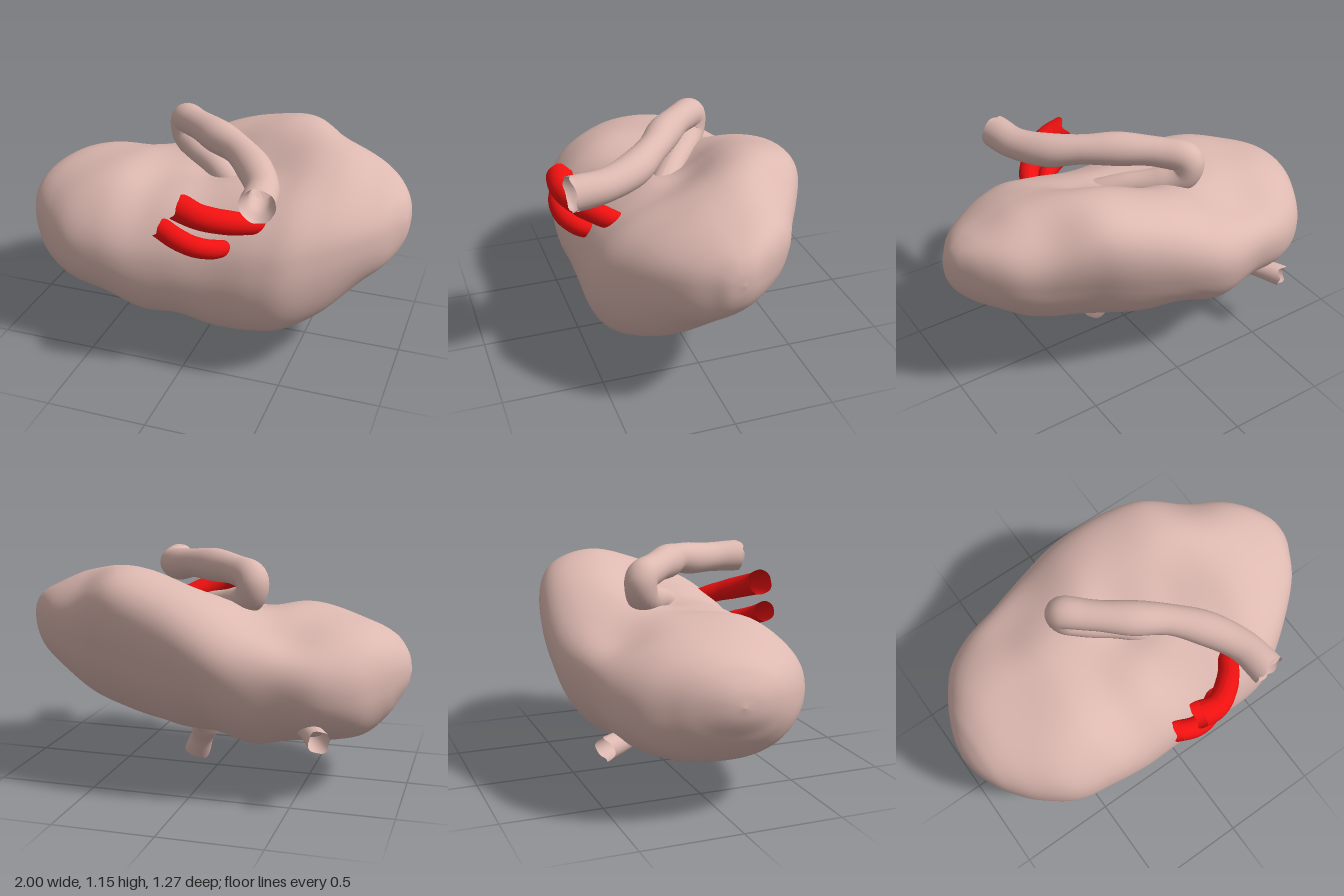
import * as THREE from 'three';

const FLESH = 0xdcb8b0, RED = 0xee1010;
const V = (p) => new THREE.Vector3(...p);
const material = (color) => new THREE.MeshStandardMaterial({ color, side: THREE.DoubleSide });

// Body stations along x: [x, top y, bottom y, back z, front z]
const STATIONS = [
  [-1, 0.59, 0.59, -0.01, -0.01], [-0.985, 0.66, 0.52, -0.1, 0.09], [-0.95, 0.72, 0.45, -0.2, 0.18],
  [-0.9, 0.77, 0.37, -0.3, 0.26], [-0.8, 0.82, 0.28, -0.44, 0.37], [-0.64, 0.86, 0.24, -0.53, 0.48],
  [-0.45, 0.89, 0.22, -0.57, 0.515], [-0.25, 0.9, 0.165, -0.62, 0.53], [-0.05, 0.98, 0.195, -0.635, 0.53],
  [0.15, 1.05, 0.175, -0.61, 0.53], [0.35, 1.1, 0.195, -0.56, 0.54], [0.5, 1.11, 0.24, -0.49, 0.52],
  [0.65, 1.06, 0.32, -0.4, 0.43], [0.8, 0.98, 0.46, -0.32, 0.31], [0.9, 0.93, 0.54, -0.22, 0.21],
  [0.96, 0.88, 0.61, -0.13, 0.11], [0.99, 0.82, 0.68, -0.07, 0.05], [1, 0.755, 0.755, -0.02, -0.02],
];

// Local swellings and hollows of the upper side: [x, z, radius, height]
const DENTS = [
  [0.25, 0, 0.13, -0.06], [0.02, -0.02, 0.17, -0.11], [0.02, 0.27, 0.15, -0.03], [0.42, 0.15, 0.25, -0.09],
  [0.6, -0.42, 0.18, -0.07], [-0.46, -0.42, 0.18, -0.07], [-0.4, 0.32, 0.22, 0.05], [-0.15, 0.32, 0.13, 0.02],
];

function bodyGeometry(rings = 110, sides = 80) {
  const curve = (a, b) =>
    new THREE.CatmullRomCurve3(STATIONS.map((s) => new THREE.Vector3(s[0], s[a], s[b])), false, 'catmullrom', 0.5);
  const heights = curve(1, 2), depths = curve(3, 4);
  const round = (v) => Math.sign(v) * Math.abs(v) ** 0.9;
  const step = THREE.MathUtils.smoothstep;
  const pos = [], index = [];
  for (let i = 0; i <= rings; i++) {
    const h = heights.getPoint(i / rings), d = depths.getPoint(i / rings);
    const hy = (h.y - h.z) / 2, hz = (d.z - d.y) / 2;
    // sections lie level at one end and lean back most past the middle
    const tilt = -0.05 - 0.47 * step(h.x, -0.9, 0.45) + 0.2 * step(h.x, 0.4, 0.85);
    for (let j = 0; j < sides; j++) {
      const t = (j / sides) * Math.PI * 2, front = Math.max(0, Math.cos(t));
      const up = Math.sin(t + tilt * (1 - 0.45 * front ** 3));
      const z = (d.y + d.z) / 2 + hz * round(Math.cos(t));
      let y = (h.y + h.z) / 2 + hy * round(up);
      for (const [dx, dz, r, k] of DENTS)
        y += k * Math.max(0, up) * Math.exp(-((h.x - dx) ** 2 + (z - dz) ** 2) / (r * r));
      // soft lumps, fading at the two ends
      y += 0.02 * hy * Math.sin(9 * h.x + 2 * z) * Math.cos(8 * z + 3 * h.x);
      pos.push(h.x, y, z);
      if (i < rings) {
        const a = i * sides + j, b = i * sides + ((j + 1) % sides);
        index.push(a, a + sides, b, b, a + sides, b + sides);
      }
    }
  }
  const g = new THREE.BufferGeometry();
  g.setAttribute('position', new THREE.Float32BufferAttribute(pos, 3));
  g.setIndex(index);
  g.computeVertexNormals();
  return g;
}

// Open tube with varying radius; the far end may be torn and uneven
function vessel(name, points, radii, color, ragged) {
  const path = new THREE.CatmullRomCurve3(points.map(V));
  const segs = 14 * points.length, sides = 28;
  const g = new THREE.TubeGeometry(path, segs, 1, sides, false);
  const p = g.attributes.position, v = new THREE.Vector3();
  for (let i = 0; i <= segs; i++) {
    const u = i / segs, c = path.getPointAt(u), tangent = path.getTangentAt(u);
    const f = u * (radii.length - 1), k = Math.min(Math.floor(f), radii.length - 2);
    const r = THREE.MathUtils.lerp(radii[k], radii[k + 1], THREE.MathUtils.smoothstep(f - k, 0, 1));
    for (let j = 0; j <= sides; j++) {
      const n = i * (sides + 1) + j, a = (j / sides) * Math.PI * 2;
      v.fromBufferAttribute(p, n).sub(c).multiplyScalar(r).add(c);
      v.addScaledVector(tangent, ragged * u ** 6 * (Math.sin(3 * a) + 0.5 * Math.sin(5 * a + 1)));
      p.setXYZ(n, v.x, v.y, v.z);
    }
  }
  g.computeVertexNormals();
  const mesh = new THREE.Mesh(g, material(color));
  mesh.name = name;
  return mesh;
}

export function createModel() {
  const model = new THREE.Group();
  model.name = 'organ';

  const body = new THREE.Mesh(bodyGeometry(), material(FLESH));
  body.name = 'body';
  model.add(body);

  // Long duct looping out of the hollow and over to the front
  model.add(vessel('loopingDuct', [
    [0.12, 0.83, 0.06], [0, 0.88, -0.03], [-0.13, 0.91, -0.13], [-0.225, 0.96, -0.2], [-0.235, 1.04, -0.205],
    [-0.14, 1.065, -0.11], [0, 1.07, 0.01], [0.16, 1.06, 0.13], [0.29, 1.03, 0.27], [0.375, 1.015, 0.43],
    [0.4, 1.01, 0.59],
  ], [0.07, 0.065, 0.075, 0.08, 0.075, 0.085, 0.075, 0.085, 0.08, 0.085], FLESH, 0.01));
  // Inner lining of the duct mouth
  model.add(vessel('ductLining', [[0.375, 1.015, 0.43], [0.39, 1.012, 0.51], [0.4, 1.01, 0.59]],
    [0.05, 0.055, 0.085], FLESH, 0.01));

  // Red vessels on the front
  model.add(vessel('upperRedVessel',
    [[0.36, 0.795, 0.34], [0.3, 0.83, 0.44], [0.2, 0.87, 0.53], [0.11, 0.9, 0.57], [0.02, 0.925, 0.56]],
    [0.045, 0.052, 0.058, 0.06, 0.066], RED, 0.01));
  model.add(vessel('lowerRedVessel',
    [[0.21, 0.69, 0.45], [0.15, 0.71, 0.52], [0.08, 0.735, 0.56], [0, 0.765, 0.565], [-0.08, 0.79, 0.54]],
    [0.04, 0.047, 0.05, 0.052, 0.052], RED, 0.01));

  // Torn stubs on the underside and at the back
  model.add(vessel('bottomStub', [[0.06, 0.23, 0], [0.095, 0.15, 0.045], [0.14, 0.05, 0.1]],
    [0.075, 0.06, 0.068], FLESH, 0.01));
  model.add(vessel('backStub', [[-0.52, 0.38, -0.33], [-0.59, 0.36, -0.44], [-0.64, 0.35, -0.53]],
    [0.06, 0.052, 0.055], FLESH, 0.01));

  return model;
}
